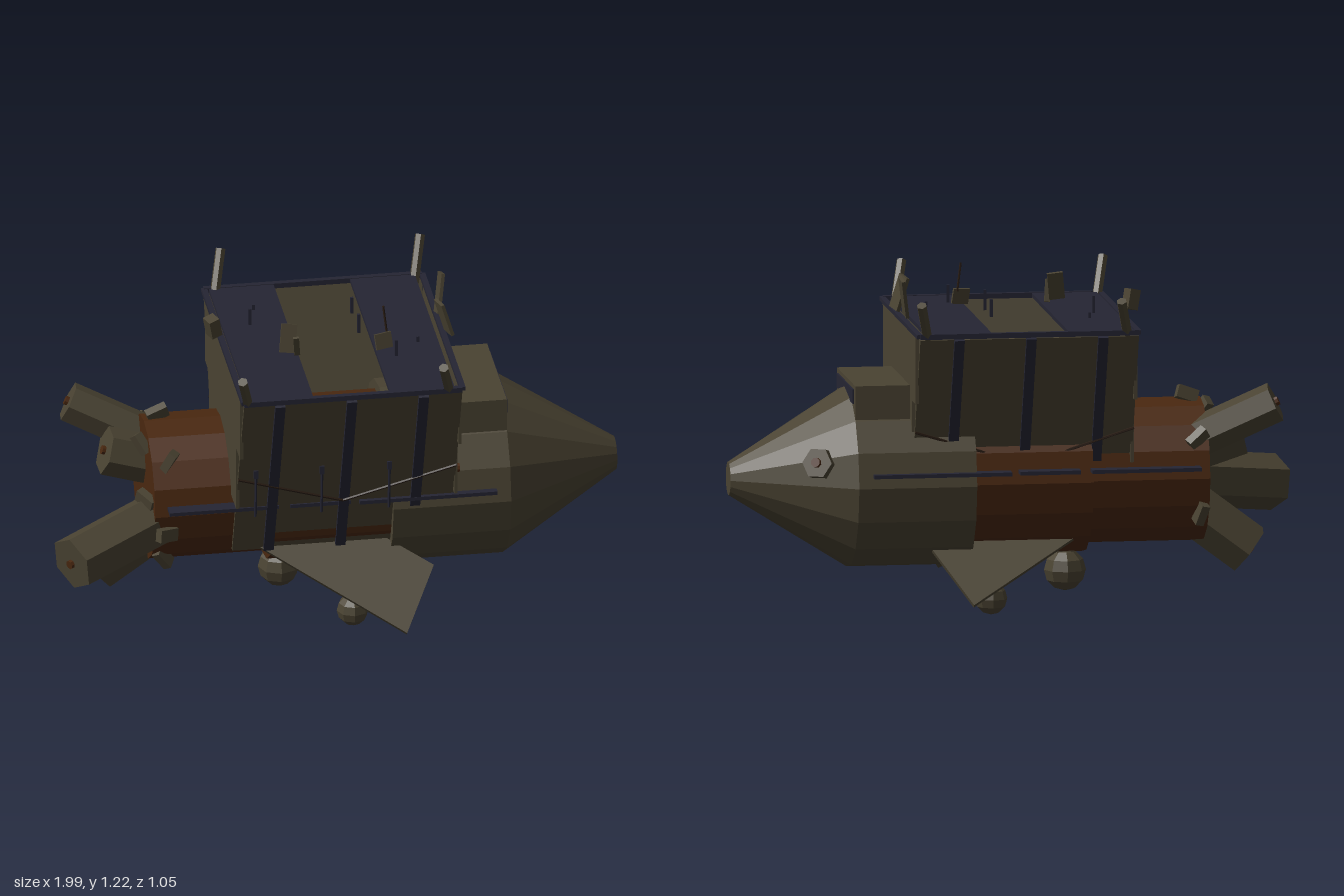
import * as THREE from 'three';

const mat = (name, color) => {
  const m = new THREE.MeshStandardMaterial({ color, flatShading: true, side: THREE.DoubleSide });
  m.name = name;
  return m;
};

export function createModel() {
  const model = new THREE.Group();
  model.name = 'scrapShip';
  const olive = mat('olive metal', 0x4a4332);
  const rust = mat('rust metal', 0x4a2810);
  const navy = mat('navy steel', 0x252533);
  const dark = mat('dark cable', 0x2a1d14);
  const V = (x, y, z) => new THREE.Vector3(x, y, z);
  const CY = 0.522, CZ = -0.05;   // hull axis

  const add = (name, geo, material, pos = [0, 0, 0], rot = [0, 0, 0]) => {
    const mesh = new THREE.Mesh(geo, material);
    mesh.name = name;
    mesh.position.set(...pos);
    mesh.rotation.set(...rot);
    model.add(mesh);
    return mesh;
  };
  const box = (name, size, pos, material, rot) =>
    add(name, new THREE.BoxGeometry(...size), material, pos, rot);
  // Prism running from point a to point b
  const prism = (name, a, b, r0, r1, sides, material) => {
    const dir = b.clone().sub(a);
    const mesh = add(name, new THREE.CylinderGeometry(r1, r0, dir.length(), sides), material);
    mesh.position.copy(a).lerp(b, 0.5);
    mesh.quaternion.setFromUnitVectors(V(0, 1, 0), dir.normalize());
    return mesh;
  };
  const hullPart = (name, x0, x1, r0, r1, material) =>
    prism(name, V(x0, CY, CZ), V(x1, CY, CZ), r0, r1, 16, material);

  // Hull sections and nose
  hullPart('rearHull', -0.64, -0.2, 0.25, 0.25, rust);
  hullPart('middleHull', -0.23, 0.2, 0.28, 0.28, rust);
  hullPart('frontHull', 0.18, 0.59, 0.315, 0.315, olive);
  hullPart('noseCone', 0.59, 1.0, 0.315, 0.058, olive);

  // Cockpit
  box('cockpit', [0.19, 0.2, 0.435], [0.495, 0.766, CZ], olive);
  box('cockpitWindow', [0.008, 0.05, 0.375], [0.592, 0.826, CZ], navy);

  // Sloping cargo walls, ribs, rails, fins on both sides
  const TOP = 1.05, LOW = 0.37, ZT = 0.443, ZL = 0.18;
  const tilt = Math.atan2(ZT - ZL, TOP - LOW);
  const wallLen = Math.hypot(ZT - ZL, TOP - LOW);
  const wallZ = y => ZL + (y - LOW) * (ZT - ZL) / (TOP - LOW);
  const fin = new THREE.Shape([[-0.31, 0], [0.2, -0.375], [0.32, -0.135], [-0.19, 0.23]]
    .map(p => new THREE.Vector2(...p)));
  for (const s of [1, -1]) {
    const midY = (TOP + LOW) / 2, midZ = (ZT + ZL) / 2;
    box('cargoWall', [0.76, wallLen, 0.012], [0.01, midY, s * midZ], olive, [s * tilt, 0, 0]);
    for (const x of [-0.245, 0.005, 0.255])
      box('wallRib', [0.035, wallLen, 0.024], [x, midY, s * (midZ + 0.008)], navy, [s * tilt, 0, 0]);
    box('topRail', [0.76, 0.018, 0.02], [0.01, 1.06, s * 0.445], navy);
    // Hull side rails
    for (const [x0, x1, off] of [[-0.6, -0.22, 0.295], [-0.18, 0.03, 0.295], [0.06, 0.54, 0.305]])
      box('sideRail', [x1 - x0, 0.013, 0.05], [(x0 + x1) / 2, 0.565, CZ + s * off], navy);
    add('fin', new THREE.ExtrudeGeometry(fin, { depth: 0.015, bevelEnabled: false }), olive,
      [0, 0.385, s * 0.16], [-s * Math.PI / 4, 0, 0]);
    // Sagging cable across the wall
    const low = V(0, 0.585, s * (wallZ(0.585) + 0.025));
    for (const x of [-0.37, 0.39])
      prism('wallCable', V(x, 0.71, s * (wallZ(0.71) + 0.015)), low, 0.005, 0.005, 5, dark);
  }

  // Upright handles on the front wall
  for (const x of [-0.31, -0.08, 0.155]) {
    prism('handle', V(x, 0.56, 0.315), V(x, 0.73, 0.33), 0.005, 0.005, 5, navy);
    box('handleKnob', [0.016, 0.03, 0.016], [x, 0.73, 0.33], navy);
  }

  // T-shaped end plates
  for (const x of [-0.368, 0.392]) {
    box('endPlateUpper', [0.012, 0.235, 0.77], [x, 0.935, 0], olive);
    box('endPlateLower', [0.012, 0.24, 0.595], [x, 0.705, 0], olive);
    box('endRail', [0.02, 0.014, 0.89], [x, 1.06, 0], navy);
  }
  prism('endBolt', V(0.39, 0.665, 0.26), V(0.41, 0.665, 0.26), 0.016, 0.016, 8, rust);

  // Roof panels with an open gap and an inner beam
  box('roofPanel', [0.225, 0.014, 0.89], [-0.24, 1.06, 0], navy);
  box('roofPanel', [0.225, 0.014, 0.89], [0.252, 1.06, 0], navy);
  box('innerBeam', [0.74, 0.03, 0.04], [0.01, 0.76, 0.14], navy);
  box('innerStub', [0.02, 0.02, 0.13], [-0.08, 0.765, 0.235], navy);

  // Leaning corner posts
  for (const [x0, x1, s] of [[-0.35, -0.385, 1], [0.35, 0.315, 1], [-0.335, -0.3, -1], [0.36, 0.395, -1]])
    prism('cornerPost', V(x0, 1.04, s * 0.425), V(x1, 1.18, s * 0.512), 0.018, 0.018, 6, olive);

  // Loose scrap and rods above the roof
  const scraps = [
    [[0.012, 0.14, 0.055], [0.4, 1.15, -0.12], [-0.28, 0.1, -0.15]],
    [[0.012, 0.12, 0.075], [0.39, 1.14, 0.05], [-0.12, 0.2, 0.3]],
    [[0.04, 0.07, 0.045], [-0.4, 1.115, -0.055], [0.1, 0.4, 0.2]],
    [[0.055, 0.1, 0.01], [-0.165, 1.14, 0.125], [-0.3, 0, -0.12]],
    [[0.06, 0.055, 0.01], [0.165, 1.11, 0.135], [-0.25, 0.2, 0.12]],
    [[0.02, 0.08, 0.01], [-0.14, 1.12, 0.15], [0.3, 0, 0.1]],
  ];
  for (const [size, pos, rot] of scraps) box('roofScrap', size, pos, olive, rot);
  prism('roofRod', V(0.18, 1.13, 0.11), V(0.168, 1.23, 0.11), 0.004, 0.004, 5, dark);
  for (const [x, z, y1] of [[-0.26, -0.12, 1.14], [0.1, 0, 1.15], [0.1, -0.15, 1.14],
    [0.2, 0.195, 1.14], [0.29, 0.1, 1.1], [-0.23, -0.23, 1.1]])
    box('roofPin', [0.01, y1 - 1.08, 0.01], [x, (1.08 + y1) / 2, z], navy);

  // Rear thrusters: hexagonal prisms with a rust bolt on the end
  const thrusters = [
    [V(-0.52, 0.48, 0.03), V(-0.945, 0.415, 0.29), 0.098],
    [V(-0.55, 0.62, -0.17), V(-0.875, 0.775, -0.235), 0.072],
    [V(-0.55, 0.43, -0.03), V(-0.81, 0.235, -0.05), 0.095],
    [V(-0.55, 0.58, -0.1), V(-0.77, 0.65, -0.09), 0.085],
  ];
  for (const [a, b, r] of thrusters) {
    prism('thruster', a, b, r, r, 6, olive);
    const out = b.clone().sub(a).normalize().multiplyScalar(0.012).add(b);
    prism('thrusterBolt', b, out, 0.016, 0.016, 8, rust);
  }

  // Scrap chips around the rear hull
  const chips = [
    [-0.59, 0.785, -0.08, 0.3], [-0.58, 0.7, 0.13, 0.8], [-0.6, 0.46, 0.21, -0.1],
    [-0.6, 0.66, -0.27, -0.5], [-0.6, 0.33, 0.12, -0.6], [-0.61, 0.4, -0.28, 0.6],
    [-0.66, 0.72, 0.02, 0.5], [-0.66, 0.56, 0.13, 0.2],
  ];
  chips.forEach(([x, y, z, a], i) =>
    box('hullChip', [0.075, 0.045, 0.03], [x, y, z], olive, [a, a * 0.7 + i * 0.3, a]));

  // Nose hatch with bolt
  const hatch = V(0.715, 0.6, -0.275), n = V(0.5, 0.28, -0.82);
  prism('noseHatch', hatch.clone().addScaledVector(n, -0.03), hatch.clone().addScaledVector(n, 0.025), 0.055, 0.055, 6, olive);
  prism('noseBolt', hatch, hatch.clone().addScaledVector(n, 0.04), 0.017, 0.017, 8, rust);

  // Hanging tanks below
  const tank = r => new THREE.SphereGeometry(r, 8, 6);
  add('largeTank', tank(0.073), olive, [-0.17, 0.18, -0.055]);
  add('smallTank', tank(0.056), olive, [0.065, 0.062, 0.09]);
  box('tankMount', [0.06, 0.08, 0.05], [-0.17, 0.26, -0.055], olive);
  return model;
}
